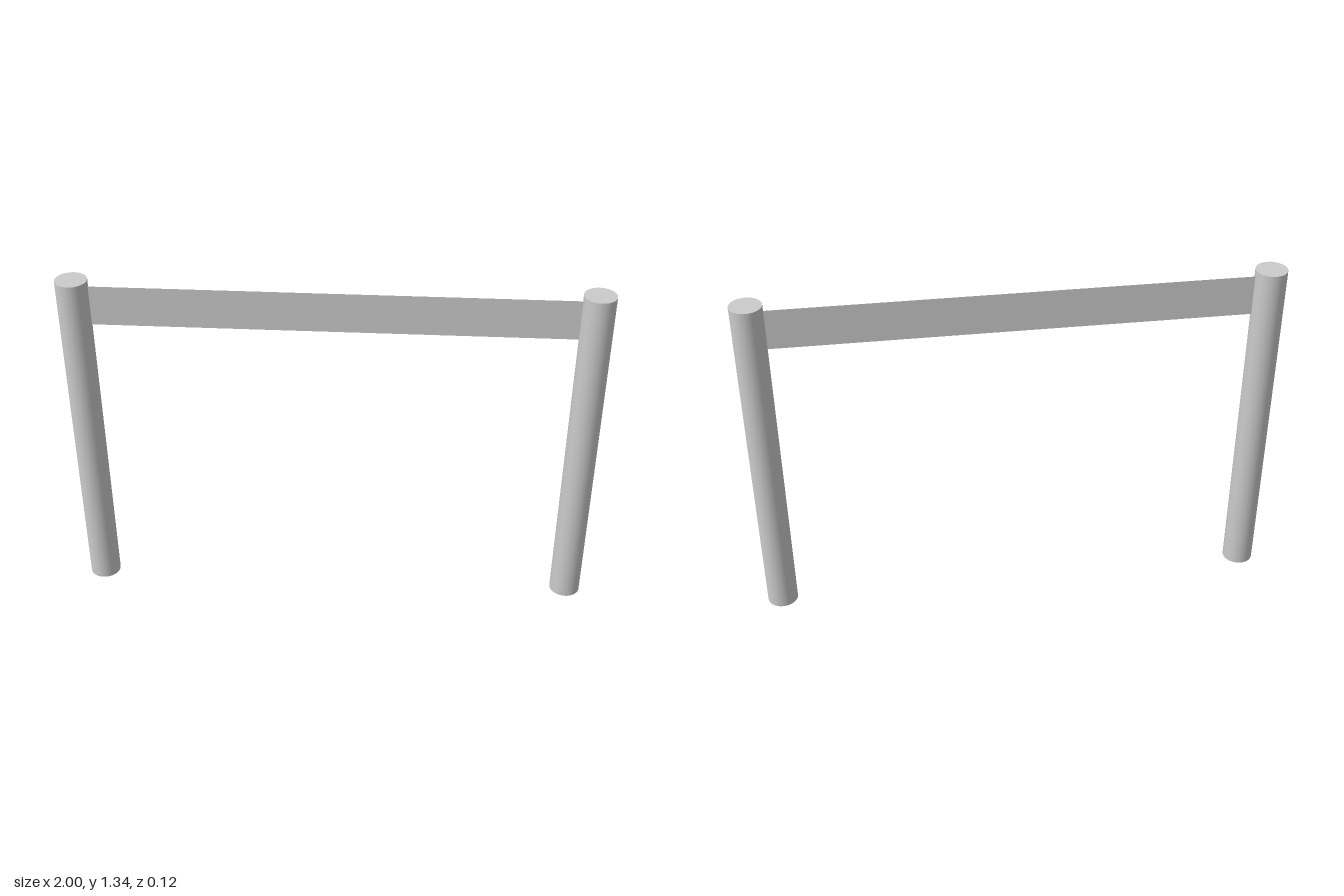
import * as THREE from 'three';

export function createModel() {
  const model = new THREE.Group();
  model.name = 'postAndRail';

  const postRadius = 0.059;
  const postHeight = 1.335;
  const postX = 1 - postRadius;
  const railBottom = 1.155;
  const railTop = 1.31;

  // Two round upright posts
  const postMaterial = new THREE.MeshStandardMaterial({ color: 0xcccccc });
  const postGeometry = new THREE.CylinderGeometry(postRadius, postRadius, postHeight, 48);
  for (const side of [-1, 1]) {
    const post = new THREE.Mesh(postGeometry, postMaterial);
    post.name = side > 0 ? 'leftPost' : 'rightPost';
    post.position.set(side * postX, postHeight / 2, 0);
    model.add(post);
  }

  // Paper-thin rail spanning between the inner faces of the posts
  const railLength = 2 * (postX - postRadius);
  const rail = new THREE.Mesh(
    new THREE.PlaneGeometry(railLength, railTop - railBottom),
    new THREE.MeshStandardMaterial({ color: 0xcccccc, side: THREE.DoubleSide })
  );
  rail.name = 'rail';
  rail.position.y = (railBottom + railTop) / 2;
  model.add(rail);

  return model;
}
